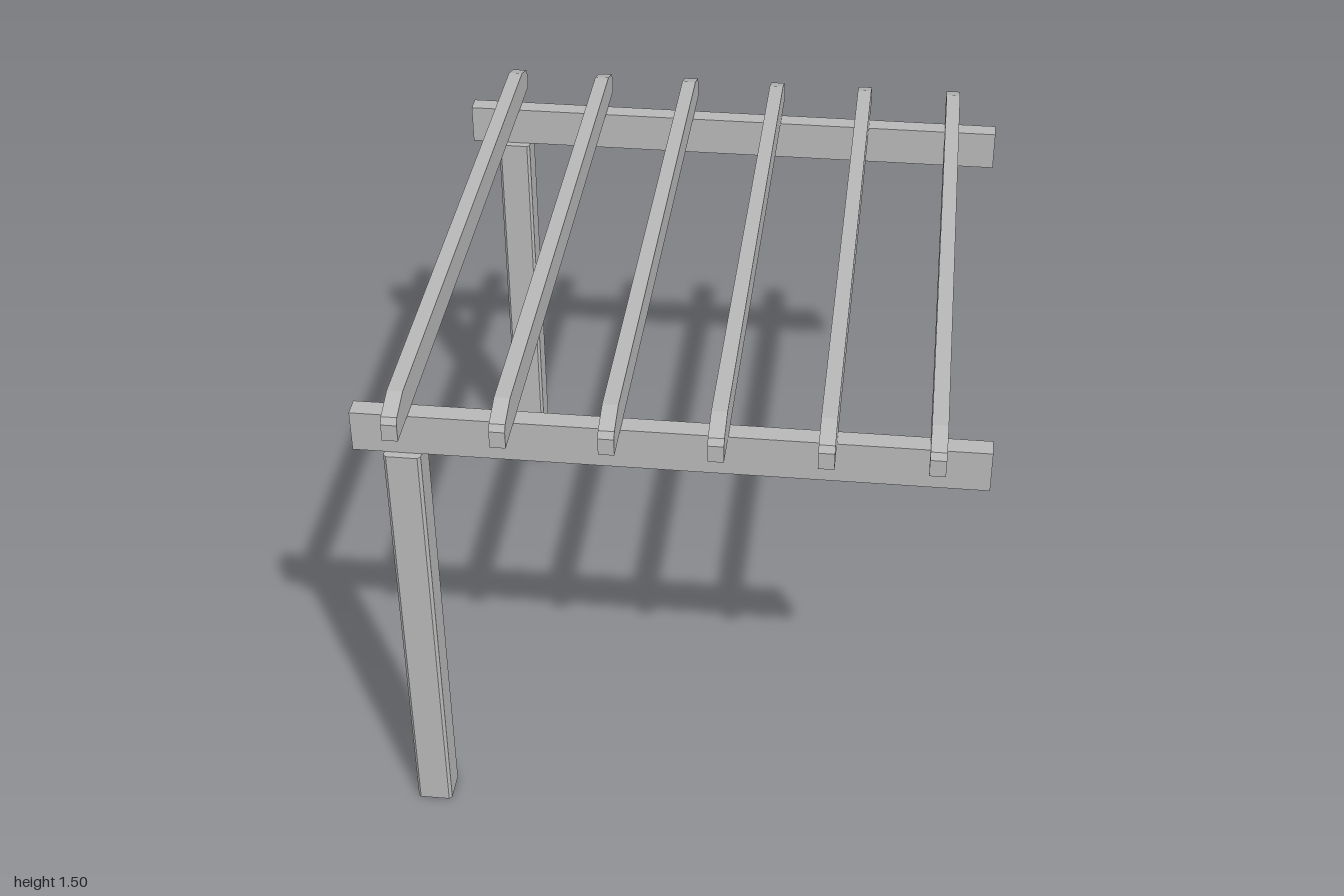
import * as THREE from 'three';

// Extrude a closed outline and centre the depth on zero
function prism(points, depth) {
  const shape = new THREE.Shape(points.map(([x, y]) => new THREE.Vector2(x, y)));
  const geo = new THREE.ExtrudeGeometry(shape, { depth, bevelEnabled: false });
  return geo.translate(0, 0, -depth / 2);
}

export function createModel() {
  const group = new THREE.Group();
  const grey = new THREE.MeshStandardMaterial({ name: 'plain grey', color: 0xb8b8b8, flatShading: true });

  const add = (name, geo, x, y, z) => {
    const mesh = new THREE.Mesh(geo, grey);
    mesh.name = name;
    mesh.position.set(x, y, z);
    group.add(mesh);
  };

  const beamBottom = 1.282, beamTop = 1.403;

  // Square post section with narrow chamfers along its corners
  const h = 0.051, k = 0.043;
  const postGeo = prism(
    [[-k, -h], [k, -h], [h, -k], [h, k], [k, h], [-k, h], [-h, k], [-h, -k]],
    beamBottom
  ).rotateX(-Math.PI / 2);

  // Posts and cross beams, front and back
  const beamGeo = new THREE.BoxGeometry(1.706, beamTop - beamBottom, 0.056);
  for (const [side, s] of [['front', 1], ['back', -1]]) {
    add(side + 'Post', postGeo, -0.715, beamBottom / 2, s * 0.86);
    add(side + 'Beam', beamGeo, 0, (beamTop + beamBottom) / 2, s * 0.86);
  }

  // Rafter side profile (z, height) with sloped, clipped ends
  const rafterGeo = prism(
    [[-1, 0], [1, 0], [1, 0.05], [0.988, 0.068], [0.907, 0.095],
      [-0.907, 0.095], [-0.978, 0.071], [-1, 0.04]],
    0.043
  ).rotateY(-Math.PI / 2);
  for (let i = 0; i < 6; i++) {
    add('rafter' + (i + 1), rafterGeo, -0.716 + i * 0.2854, beamTop, 0);
  }

  return group;
}
